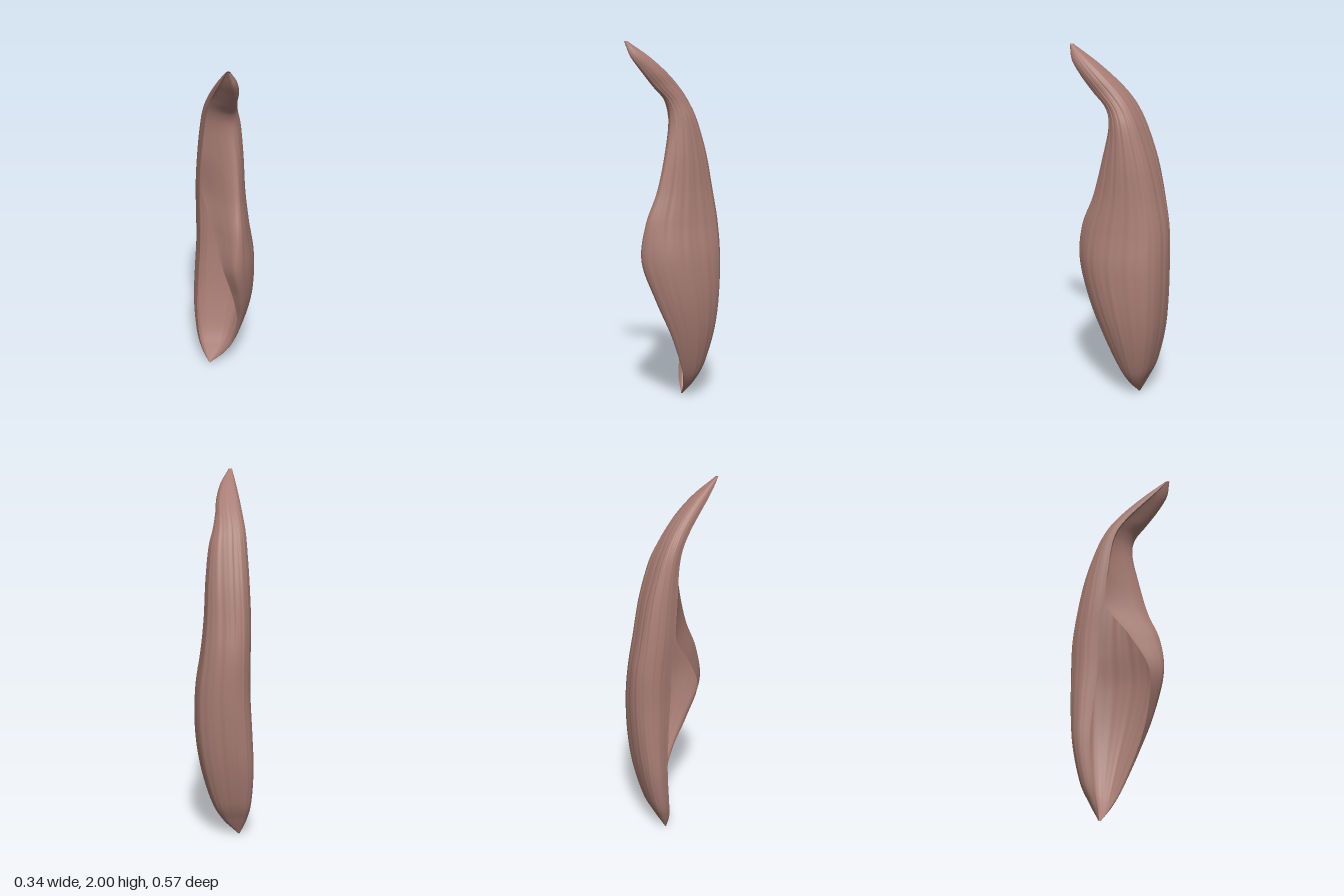
import * as THREE from 'three';

// Cross-sections from base to tip:
// y, left x, right x, back z, front z, left edge z, front fold x, inner edge x, inner edge z
const LEVELS = [
  [0.00, -0.09, -0.08, -0.105, -0.095, -0.10, -0.083, -0.084, -0.10],
  [0.09, -0.13, 0.01, -0.15, -0.07, -0.10, 0.00, -0.01, -0.07],
  [0.20, -0.157, 0.07, -0.20, -0.03, -0.115, 0.05, 0.04, -0.035],
  [0.40, -0.17, 0.13, -0.25, 0.05, -0.13, 0.085, 0.065, 0.045],
  [0.60, -0.162, 0.16, -0.275, 0.138, -0.12, 0.08, 0.035, 0.12],
  [0.82, -0.15, 0.16, -0.285, 0.21, -0.10, 0.048, -0.025, 0.155],
  [1.02, -0.15, 0.13, -0.278, 0.19, -0.09, 0.055, -0.075, 0.06],
  [1.20, -0.15, 0.11, -0.245, 0.12, -0.07, 0.055, -0.125, -0.055],
  [1.40, -0.14, 0.10, -0.20, 0.068, -0.05, 0.05, -0.12, -0.045],
  [1.58, -0.125, 0.085, -0.138, 0.035, -0.03, 0.035, -0.105, -0.03],
  [1.68, -0.112, 0.065, -0.09, 0.055, 0.00, 0.03, -0.092, 0.00],
  [1.76, -0.093, 0.057, -0.035, 0.13, 0.055, 0.03, -0.073, 0.055],
  [1.84, -0.07, 0.058, 0.045, 0.20, 0.13, 0.03, -0.052, 0.13],
  [1.92, -0.044, 0.043, 0.145, 0.26, 0.21, 0.02, -0.032, 0.21],
  [2.00, -0.016, 0.004, 0.268, 0.285, 0.277, -0.005, -0.012, 0.277],
];

// Nine points running from the left edge, round the back, to the curled front edge
function section([y, xl, xr, zb, zf, za, xg, xh, zh]) {
  const w = xr - xl, d = zf - zb;
  return [
    [xl + 0.05 * w, za],
    [xl, za + (zb - za) * 0.5],
    [xl + 0.1 * w, zb + 0.05 * d],
    [xl + 0.38 * w, zb],
    [xl + 0.84 * w, zb + 0.11 * d],
    [xr, zb + 0.47 * d],
    [xg + 0.8 * (xr - xg), zb + 0.8 * d],
    [xg, zf],
    [xh, zh],
  ].map(([x, z]) => new THREE.Vector3(x, y, z));
}

// Fine lengthwise veins, fading at both ends and towards the long edges
function vein(u, v) {
  const s = u + 0.03 * Math.sin(v * 5);
  return 0.0014 * Math.sin(Math.PI * v) * Math.sin(Math.PI * u) *
    (Math.sin(s * 95 + 2 * v) + 0.7 * Math.sin(s * 171 - 3 * v) + 0.5 * Math.sin(s * 37 + 4 * v));
}

function leafGeometry(nu = 150, nv = 150) {
  const sections = LEVELS.map(section);
  const rails = sections[0].map((_, i) =>
    new THREE.CatmullRomCurve3(sections.map((s) => s[i]), false, 'catmullrom', 0.5));
  const geometry = new THREE.PlaneGeometry(1, 1, nu, nv);
  const position = geometry.attributes.position;
  for (let j = 0; j <= nv; j++) {
    const v = 1 - j / nv;
    const ring = new THREE.CatmullRomCurve3(rails.map((r) => r.getPoint(v)), false, 'centripetal');
    for (let i = 0; i <= nu; i++) {
      const u = 1 - i / nu;
      const p = ring.getPoint(u);
      const t = ring.getTangent(u);
      const k = vein(u, v);
      position.setXYZ(j * (nu + 1) + i, p.x + t.z * k, p.y, p.z - t.x * k);
    }
  }
  geometry.computeVertexNormals();
  return geometry;
}

export function createModel() {
  const group = new THREE.Group();
  group.name = 'curledLeaf';
  const material = new THREE.MeshStandardMaterial({ color: 0xa87d74, side: THREE.DoubleSide });
  const blade = new THREE.Mesh(leafGeometry(), material);
  blade.name = 'leafBlade';
  group.add(blade);
  return group;
}
